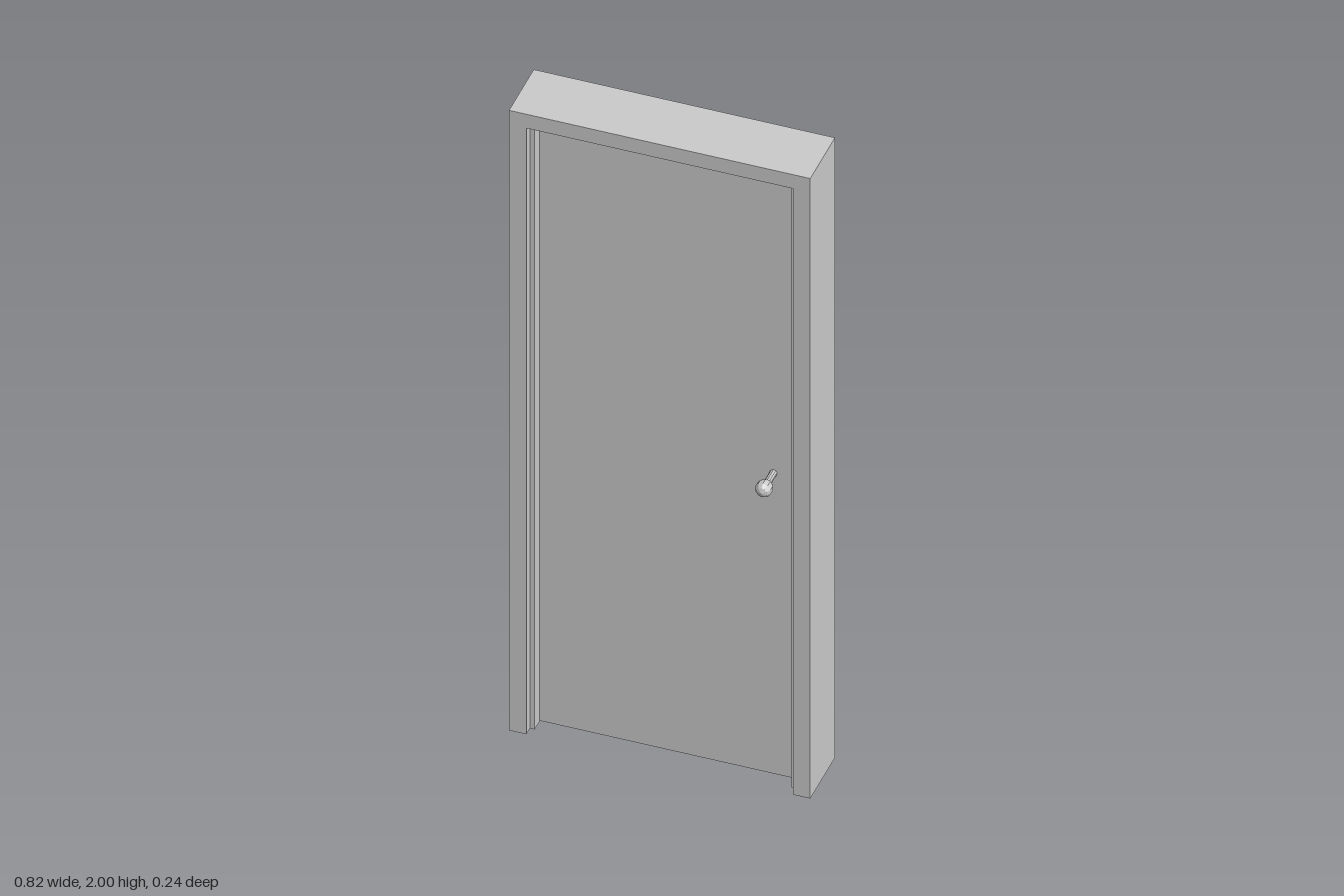
import * as THREE from 'three';

const material = new THREE.MeshStandardMaterial({ color: 0xcccccc, flatShading: true, side: THREE.DoubleSide });

// Upside-down U: outer half width and height, inner half width and height
function portal(name, outerX, outerY, innerX, innerY, zBack, zFront) {
  const shape = new THREE.Shape([
    [-outerX, 0], [-innerX, 0], [-innerX, innerY], [innerX, innerY],
    [innerX, 0], [outerX, 0], [outerX, outerY], [-outerX, outerY],
  ].map(([x, y]) => new THREE.Vector2(x, y)));
  const geometry = new THREE.ExtrudeGeometry(shape, { depth: zFront - zBack, bevelEnabled: false });
  geometry.translate(0, 0, zBack);
  const mesh = new THREE.Mesh(geometry, material);
  mesh.name = name;
  return mesh;
}

export function createModel() {
  const model = new THREE.Group();
  model.name = 'door';

  // Frame with a raised stop running round the middle of its inside
  model.add(portal('frame', 0.41, 2, 0.363, 1.955, -0.094, 0.088));
  model.add(portal('doorStop', 0.363, 1.955, 0.35, 1.936, -0.068, 0.062));

  // Door leaf
  const leaf = new THREE.Mesh(new THREE.BoxGeometry(0.7, 1.932, 0.055), material);
  leaf.name = 'doorLeaf';
  leaf.position.set(0, 0.97, 0);
  model.add(leaf);

  // Knob with a thin neck, one on each side
  const profile = [
    [0.01, 0.02], [0.01, 0.075], [0.016, 0.079], [0.022, 0.09],
    [0.022, 0.106], [0.014, 0.117], [0, 0.122],
  ].map(([r, y]) => new THREE.Vector2(r, y));
  const knobGeometry = new THREE.LatheGeometry(profile, 10);
  for (const side of [1, -1]) {
    const knob = new THREE.Mesh(knobGeometry, material);
    knob.name = side > 0 ? 'frontKnob' : 'backKnob';
    knob.rotation.x = side * Math.PI / 2;
    knob.position.set(0.288, 0.975, 0);
    model.add(knob);
  }
  return model;
}
